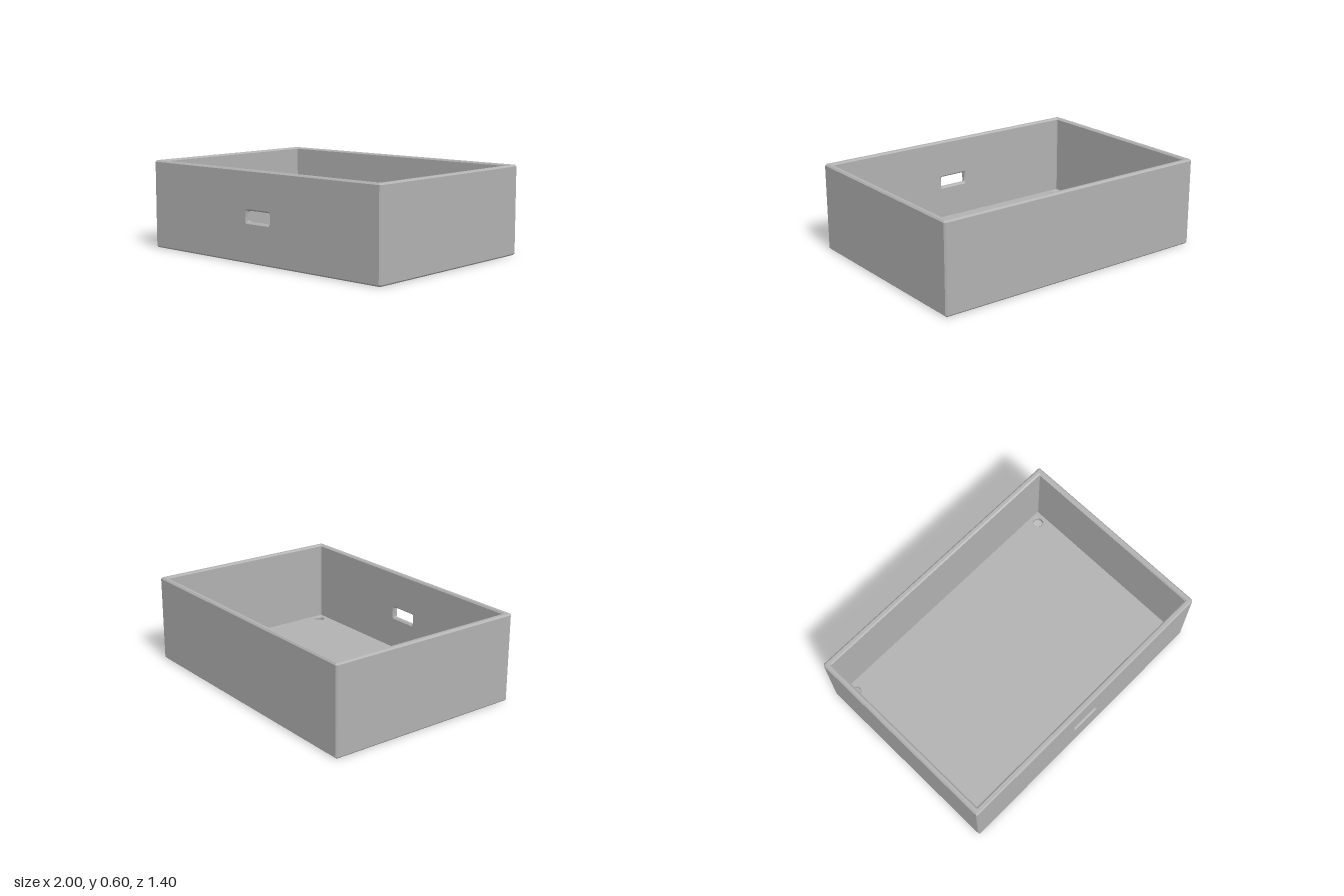
import * as THREE from 'three';
import { toCreasedNormals } from 'three/addons/utils/BufferGeometryUtils.js';

const WIDTH = 2, DEPTH = 1.4, HEIGHT = 0.6, WALL = 0.04, BEVEL = 0.01;
const SLOT = { x: 0.1, y: 0.0375, centre: 0.3025 };
const HOLE_RADIUS = 0.035, HOLE_FLARE = 0.005;

// Counter-clockwise rectangle with cut corners; side 0 is its lower edge
function cutRect(hx, hy, c, cy = 0) {
  return [[c - hx, -hy], [hx - c, -hy], [hx, c - hy], [hx, hy - c],
    [hx - c, hy], [c - hx, hy], [-hx, hy - c], [-hx, c - hy]]
    .map(([x, y]) => new THREE.Vector2(x, y + cy));
}

function circle(r, cx, cy, n = 32) {
  return Array.from({ length: n }, (_, i) => {
    const a = (i / n) * Math.PI * 2;
    return new THREE.Vector2(cx + r * Math.cos(a), cy + r * Math.sin(a));
  });
}

// Joins outlines stacked along z into a skin; skip(level, side) leaves openings
function loft(rings, skip = () => false) {
  const pos = [];
  for (let k = 0; k < rings.length - 1; k++) {
    const [a, b] = [rings[k], rings[k + 1]];
    const n = a.points.length;
    for (let i = 0; i < n; i++) {
      if (skip(k, i)) continue;
      const j = (i + 1) % n;
      for (const [r, m] of [[a, i], [a, j], [b, j], [a, i], [b, j], [b, i]]) {
        pos.push(r.points[m].x, r.points[m].y, r.z);
      }
    }
  }
  const geometry = new THREE.BufferGeometry();
  geometry.setAttribute('position', new THREE.Float32BufferAttribute(pos, 3));
  return toCreasedNormals(geometry, Math.PI / 6);
}

// Flat plate with openings
function plate(outline, holes) {
  const shape = new THREE.Shape(outline);
  for (const h of holes) shape.holes.push(new THREE.Path(h));
  return new THREE.ShapeGeometry(shape);
}

export function createModel() {
  const model = new THREE.Group();
  model.name = 'enclosure';
  const grey = new THREE.MeshStandardMaterial({ color: 0xb2b2b2 });
  grey.name = 'grey plastic';
  const add = (name, geometry) => {
    const mesh = new THREE.Mesh(geometry, grey);
    mesh.name = name;
    model.add(mesh);
    return geometry;
  };

  // Wall skin: up the outside, over the rim, down the inside
  const profile = [
    [BEVEL, 0, 0.005], [0, BEVEL, BEVEL], [0, HEIGHT - BEVEL, BEVEL],
    [BEVEL, HEIGHT, 0.005], [WALL - BEVEL, HEIGHT, 0.005],
    [WALL, HEIGHT - BEVEL, 0.005], [WALL, WALL, 0.005],
  ];
  const rings = profile.map(([inset, z, c]) => ({
    points: cutRect(WIDTH / 2 - inset, DEPTH / 2 - inset, c), z,
  }));
  const frontOpen = (level, side) => side === 0 && (level === 1 || level === 5);
  add('walls', loft(rings, frontOpen)).rotateX(-Math.PI / 2);

  // Front wall faces, with the flared slot between them
  const slot = (flare) => cutRect(SLOT.x + flare, SLOT.y + flare, 0.008, SLOT.centre);
  const face = (hx, bottom) => {
    const top = HEIGHT - BEVEL;
    return plate(cutRect(hx, (top - bottom) / 2, 0, (top + bottom) / 2), [slot(BEVEL)]);
  };
  add('frontOuterFace', face(WIDTH / 2 - BEVEL, BEVEL)).translate(0, 0, DEPTH / 2);
  add('frontInnerFace', face(WIDTH / 2 - WALL - 0.005, WALL))
    .rotateY(Math.PI).translate(0, 0, DEPTH / 2 - WALL);
  add('slotLining', loft([
    { points: slot(BEVEL), z: DEPTH / 2 },
    { points: slot(0), z: DEPTH / 2 - BEVEL },
    { points: slot(0), z: DEPTH / 2 - WALL + BEVEL },
    { points: slot(BEVEL), z: DEPTH / 2 - WALL },
  ]));

  // Floor faces and the screw holes in the corners
  const centres = [[-0.9, -0.6], [0.9, -0.6], [0.9, 0.6], [-0.9, 0.6]];
  const holes = () => centres.map(([x, y]) => circle(HOLE_RADIUS + HOLE_FLARE, x, y));
  const floor = (inset) =>
    plate(cutRect(WIDTH / 2 - inset, DEPTH / 2 - inset, 0.005), holes());
  add('floorTop', floor(WALL)).rotateX(-Math.PI / 2).translate(0, WALL, 0);
  add('floorUnderside', floor(BEVEL)).rotateX(Math.PI / 2);
  for (const [x, y] of centres) {
    const wide = circle(HOLE_RADIUS + HOLE_FLARE, x, y);
    const narrow = circle(HOLE_RADIUS, x, y);
    add('screwHole', loft([
      { points: wide, z: WALL }, { points: narrow, z: WALL - HOLE_FLARE },
      { points: narrow, z: HOLE_FLARE }, { points: wide, z: 0 },
    ])).rotateX(-Math.PI / 2);
  }
  return model;
}
